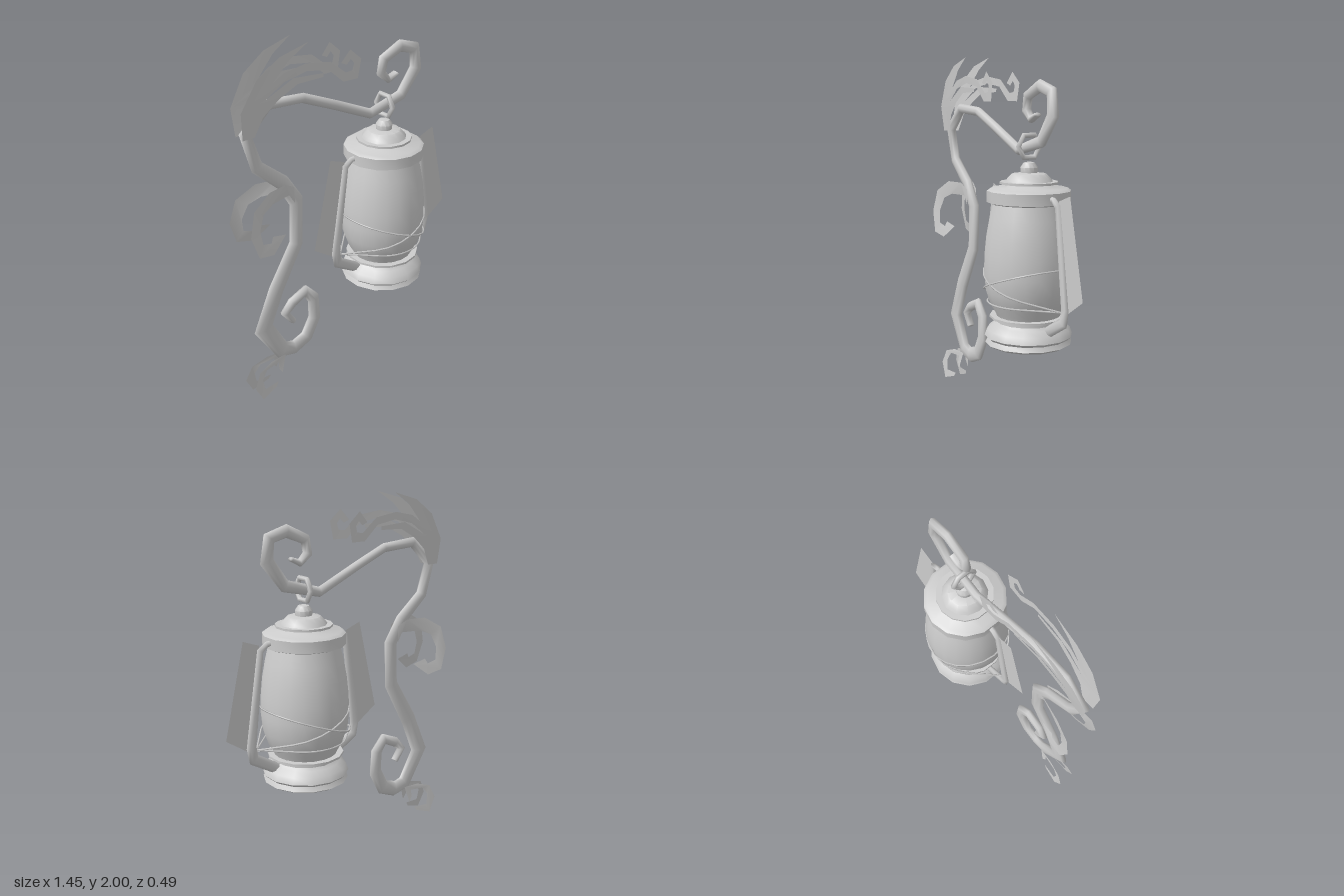
import * as THREE from 'three';
import { toCreasedNormals } from 'three/addons/utils/BufferGeometryUtils.js';

const grey = new THREE.MeshStandardMaterial({ color: 0xcccccc });
const thin = new THREE.MeshStandardMaterial({ color: 0xcccccc, side: THREE.DoubleSide });

function add(parent, name, geometry, material = grey) {
  const mesh = new THREE.Mesh(geometry, material);
  mesh.name = name;
  parent.add(mesh);
  return mesh;
}

// Tapering limb in the xy plane: points are [x, y, half width], depth is the half size in z
function limb(points, depth, sides = 8) {
  const first = points[0], last = points[points.length - 1];
  const rings = [[...first, 0], ...points.map(p => [...p, 1]), [...last, 0]];
  const n = points.length, pos = [], index = [];
  rings.forEach(([x, y, w, open], i) => {
    const k = Math.min(Math.max(i - 1, 0), n - 1);
    const p = points[k], a = points[Math.max(k - 1, 0)], b = points[Math.min(k + 1, n - 1)];
    const t = new THREE.Vector2();
    if (k > 0) t.add(new THREE.Vector2(p[0] - a[0], p[1] - a[1]).normalize());
    if (k < n - 1) t.add(new THREE.Vector2(b[0] - p[0], b[1] - p[1]).normalize());
    t.normalize();
    for (let j = 0; j < sides; j++) {
      const ang = j / sides * Math.PI * 2, c = Math.cos(ang) * w * open;
      pos.push(x - t.y * c, y + t.x * c, Math.sin(ang) * depth * open);
    }
  });
  for (let i = 0; i < rings.length - 1; i++) {
    for (let j = 0; j < sides; j++) {
      const a = i * sides + j, b = i * sides + (j + 1) % sides;
      index.push(a, b, b + sides, a, b + sides, a + sides);
    }
  }
  const g = new THREE.BufferGeometry();
  g.setAttribute('position', new THREE.Float32BufferAttribute(pos, 3));
  g.setIndex(index);
  g.computeVertexNormals();
  return g;
}

// Flat leaf whose distance from z = 0 grows away from its root
function leaf(outline, root, spread, side) {
  const g = new THREE.ShapeGeometry(new THREE.Shape(outline.map(p => new THREE.Vector2(...p))));
  const p = g.attributes.position;
  for (let i = 0; i < p.count; i++) {
    const d = Math.hypot(p.getX(i) - root[0], p.getY(i) - root[1]);
    p.setZ(i, side * spread(d));
  }
  g.computeVertexNormals();
  return g;
}

function lathe(profile, sides) {
  const g = new THREE.LatheGeometry(profile.map(p => new THREE.Vector2(...p)), sides);
  return toCreasedNormals(g, 0.7);
}

// Wire stretched from one or both arms around the globe, its height following x
function wire(radius, reach, bothEnds, yAt) {
  const a = Math.acos(radius / reach), pts = [new THREE.Vector3(reach, 0, 0)];
  const end = bothEnds ? Math.PI - a : Math.PI, steps = 8;
  const arc = [];
  for (let i = 0; i <= steps; i++) {
    const t = a + (end - a) * i / steps;
    arc.push(new THREE.Vector3(Math.cos(t) * radius, 0, Math.sin(t) * radius));
  }
  pts.push(...arc);
  if (bothEnds) pts.push(new THREE.Vector3(-reach, 0, 0));
  const back = pts.slice(1, -1).reverse().map(p => new THREE.Vector3(p.x, 0, -p.z));
  pts.push(...back);
  pts.forEach(p => { p.y = yAt(p.x); });
  const path = new THREE.CurvePath();
  pts.forEach((p, i) => path.add(new THREE.LineCurve3(p, pts[(i + 1) % pts.length])));
  return new THREE.TubeGeometry(path, 72, 0.005, 4, true);
}

export function createModel() {
  const model = new THREE.Group();
  model.name = 'hangingLantern';

  // Twisting vine hook, from the lower curl to the upper curl
  add(model, 'vineHook', limb([
    [-0.43, 0.4, 0.018], [-0.48, 0.47, 0.026], [-0.43, 0.52, 0.03], [-0.34, 0.56, 0.034], [-0.285, 0.49, 0.038],
    [-0.28, 0.36, 0.043], [-0.34, 0.25, 0.046], [-0.43, 0.215, 0.048], [-0.51, 0.235, 0.052], [-0.625, 0.43, 0.06],
    [-0.53, 0.65, 0.052], [-0.39, 0.89, 0.045], [-0.38, 1.14, 0.045], [-0.46, 1.27, 0.04], [-0.61, 1.4, 0.036],
    [-0.665, 1.585, 0.037], [-0.53, 1.71, 0.03], [-0.32, 1.695, 0.026], [-0.12, 1.61, 0.026], [0.125, 1.5, 0.028],
    [0.345, 1.555, 0.034], [0.45, 1.69, 0.042], [0.435, 1.805, 0.037], [0.33, 1.835, 0.035], [0.215, 1.785, 0.031],
    [0.2, 1.71, 0.028], [0.25, 1.665, 0.02], [0.305, 1.69, 0.012]], 0.024));

  // Paired leaves: branching tuft at the top, curl at mid stem, small curl at the foot
  const tuft = [[-0.7, 1.575], [-0.71, 1.72], [-0.62, 1.87], [-0.495, 1.955], [-0.33, 2], [-0.44, 1.93],
    [-0.535, 1.83], [-0.47, 1.87], [-0.345, 1.895], [-0.2, 1.875], [-0.105, 1.8], [-0.065, 1.805], [-0.055, 1.84],
    [-0.075, 1.865], [-0.1, 1.84], [-0.135, 1.855], [-0.08, 1.915], [-0.01, 1.855], [-0.03, 1.755], [-0.12, 1.755],
    [-0.21, 1.835], [-0.34, 1.855], [-0.47, 1.825], [-0.575, 1.755], [-0.415, 1.835], [-0.24, 1.825],
    [-0.24, 1.805], [-0.39, 1.8], [-0.495, 1.745], [-0.585, 1.67], [-0.63, 1.575]];
  const midCurl = [[-0.47, 1.275], [-0.585, 1.275], [-0.695, 1.21], [-0.73, 1.08], [-0.69, 0.955], [-0.595, 0.935],
    [-0.5, 1.01], [-0.585, 1.03], [-0.6, 1], [-0.655, 1.015], [-0.665, 1.09], [-0.63, 1.17], [-0.56, 1.2],
    [-0.44, 1.2], [-0.41, 1.15], [-0.41, 1.24]];
  const footCurl = [[-0.5, 0.21], [-0.535, 0.105], [-0.555, 0.14], [-0.55, 0.18], [-0.64, 0.175], [-0.675, 0.125],
    [-0.665, 0.06], [-0.57, 0.065], [-0.585, 0.04], [-0.685, 0.005], [-0.73, 0.095], [-0.69, 0.18], [-0.6, 0.21]];
  for (const side of [1, -1]) {
    add(model, 'topLeaf', leaf(tuft, [-0.66, 1.58], d => 0.02 + 0.08 * d ** 0.6, side), thin);
    add(model, 'stemLeaf', leaf(midCurl, [-0.42, 1.2], d => 0.02 + 0.24 * d, side), thin);
    add(model, 'footLeaf', leaf(footCurl, [-0.52, 0.22], d => 0.015 + 0.14 * d, side), thin);
  }

  // Lantern body
  const lantern = new THREE.Group();
  lantern.name = 'lantern';
  lantern.position.x = 0.228;
  model.add(lantern);
  add(lantern, 'base', lathe([[0, 0.46], [0.21, 0.46], [0.235, 0.475], [0.222, 0.5], [0.238, 0.515], [0.225, 0.55],
    [0.19, 0.575], [0.175, 0.59], [0.175, 0.615], [0, 0.615]], 14));
  add(lantern, 'lowerDisc', lathe([[0, 0.612], [0.21, 0.612], [0.21, 0.624], [0, 0.624]], 14));
  add(lantern, 'globe', lathe([[0.165, 0.6], [0.18, 0.64], [0.208, 0.69], [0.232, 0.76], [0.241, 0.85],
    [0.238, 0.95], [0.228, 1.05], [0.21, 1.15], [0.185, 1.25]], 20));
  add(lantern, 'cap', lathe([[0, 1.228], [0.205, 1.228], [0.224, 1.235], [0.224, 1.295], [0.205, 1.308],
    [0.125, 1.31], [0.1, 1.33], [0, 1.33]], 14));
  add(lantern, 'upperDisc', lathe([[0, 1.33], [0.155, 1.33], [0.155, 1.342], [0, 1.342]], 14));
  add(lantern, 'lid', lathe([[0.125, 1.342], [0.115, 1.358], [0.09, 1.383], [0.045, 1.388], [0.047, 1.415],
    [0.03, 1.44], [0, 1.447]], 12));

  // Hexagonal hanging ring
  const ring = add(lantern, 'hangingRing', new THREE.TorusGeometry(0.066, 0.015, 6, 6));
  ring.rotation.y = Math.PI / 2;
  ring.position.y = 1.525;

  // Side arms and their flat fins
  for (const s of [1, -1]) {
    add(lantern, 'sideArm', limb([[0.17 * s, 1.27, 0.016], [0.235 * s, 1.265, 0.016], [0.275 * s, 1.235, 0.021],
      [0.345 * s, 0.72, 0.03], [0.33 * s, 0.65, 0.034], [0.17 * s, 0.555, 0.03]], 0.016, 6));
    const fin = [[0.377, 1.3], [0.28, 1.265], [0.37, 0.705], [0.495, 0.79]];
    add(lantern, 'fin', new THREE.ShapeGeometry(
      new THREE.Shape(fin.map(p => new THREE.Vector2(p[0] * s, p[1])))), thin);
    // Crossing wire, low at this arm and high on the far side
    add(lantern, 'crossWire', wire(0.243, 0.315, false, x => 0.813 - x * 0.36)).scale.x = s;
  }
  // scale mirrors one wire, so keep it visible from both sides
  lantern.children.filter(c => c.name === 'crossWire').forEach(c => { c.material = thin; });
  add(lantern, 'levelWire', wire(0.222, 0.315, true, () => 0.7), thin);

  return model;
}
